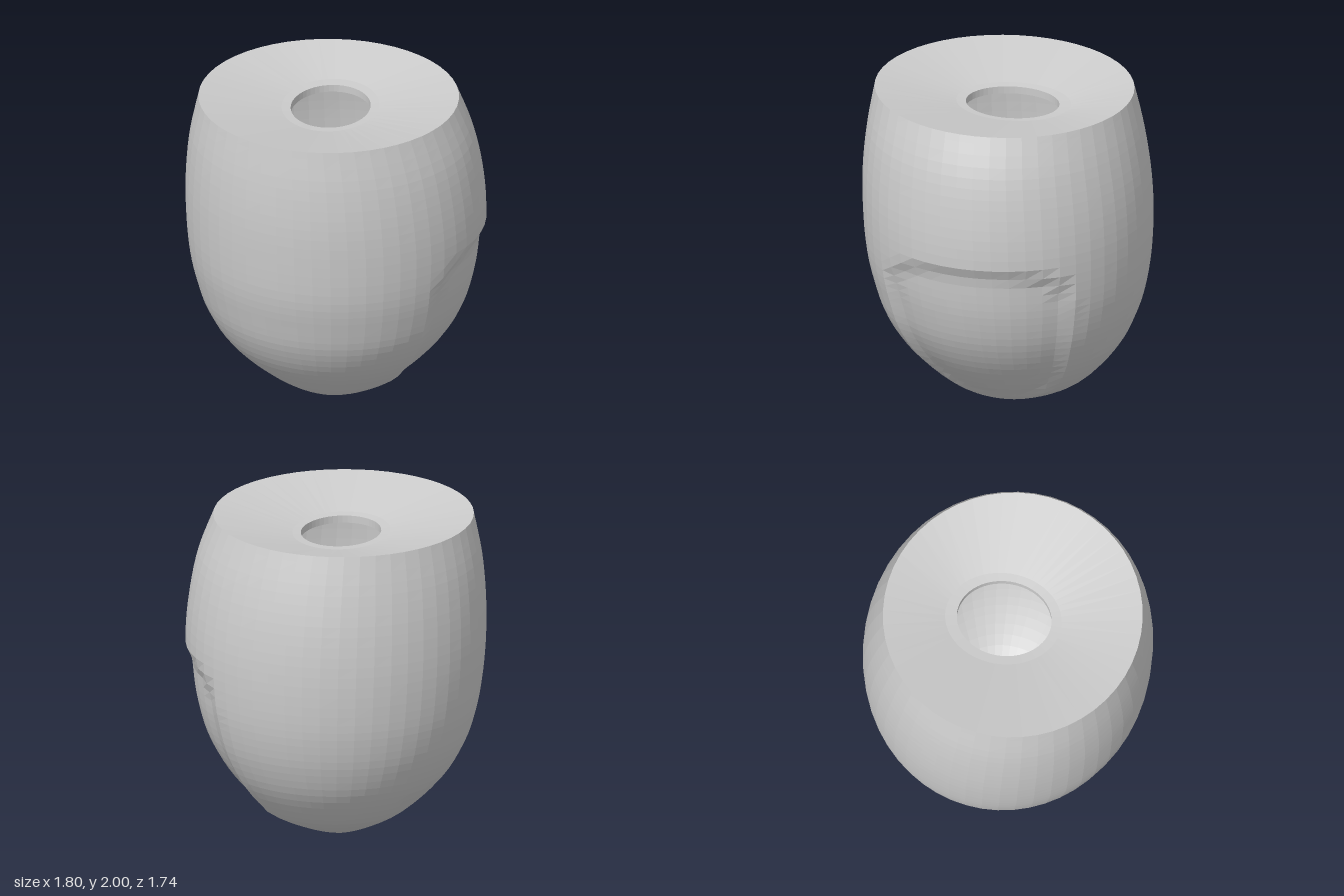
import * as THREE from 'three';

const SEG = 52;

// Lofts stacked elliptical sections { y, cx, cz, rx, rz, tilt } into one faceted skin
function loft(sections, dent) {
  const pos = [], idx = [];
  sections.forEach((s) => {
    for (let j = 0; j < SEG; j++) {
      const t = (j / SEG) * Math.PI * 2;
      const k = dent ? dent(s.y, t) : 0;
      pos.push(
        s.cx + (s.rx - k) * Math.cos(t),
        s.y + (s.tilt || 0) * Math.sin(t),
        s.cz + (s.rz - k) * Math.sin(t)
      );
    }
  });
  for (let i = 0; i < sections.length - 1; i++) {
    for (let j = 0; j < SEG; j++) {
      const a = i * SEG + j, b = i * SEG + ((j + 1) % SEG);
      idx.push(a, a + SEG, b, b, a + SEG, b + SEG);
    }
  }
  const g = new THREE.BufferGeometry();
  g.setAttribute('position', new THREE.Float32BufferAttribute(pos, 3));
  g.setIndex(idx);
  g.computeVertexNormals();
  return g;
}

// Outer extents by height: y, left edge x, right edge x, back z, front z
const PROFILE = [
  [0, -0.06, -0.02, -0.06, -0.02],
  [0.02, -0.11, 0.04, -0.12, 0.05],
  [0.08, -0.26, 0.23, -0.28, 0.22],
  [0.2, -0.46, 0.45, -0.5, 0.4],
  [0.4, -0.665, 0.65, -0.68, 0.61],
  [0.6, -0.785, 0.78, -0.78, 0.735],
  [0.8, -0.85, 0.85, -0.835, 0.8],
  [1.0, -0.885, 0.885, -0.86, 0.845],
  [1.25, -0.903, 0.9, -0.865, 0.865],
  [1.5, -0.898, 0.88, -0.845, 0.87],
  [1.75, -0.872, 0.83, -0.8, 0.852],
  [1.99, -0.82, 0.74, -0.74, 0.815]
];

const curveOf = (col) => new THREE.SplineCurve(PROFILE.map((p) => new THREE.Vector2(p[col], p[0])));
const edges = [1, 2, 3, 4].map(curveOf);

function outerSection(u) {
  const [l, r, b, f] = edges.map((c) => c.getPoint(u));
  return {
    y: l.y, cx: (l.x + r.x) / 2, cz: (b.x + f.x) / 2,
    rx: (r.x - l.x) / 2, rz: (f.x - b.x) / 2,
    tilt: 0.01 * Math.max(0, (l.y - 1.6) / 0.39)
  };
}

// Shallow worn patch low on the +x side
function dent(y, t) {
  const a = Math.atan2(Math.sin(t), Math.cos(t));
  const v = (y - 0.65) / 0.52, w = (a + 0.08) / 0.78;
  const d = v * v * v * v + w * w * w * w;
  return d < 1 ? 0.035 * Math.min(1, (1 - d) * 2.5) : 0;
}

export function createModel() {
  const group = new THREE.Group();
  const material = new THREE.MeshStandardMaterial({ color: 0xcccccc, flatShading: true });
  const add = (name, geometry) => {
    const mesh = new THREE.Mesh(geometry, material);
    mesh.name = name;
    group.add(mesh);
  };

  // Outer shell with its pointed base
  const RINGS = 44;
  const shell = Array.from({ length: RINGS + 1 }, (_, i) => outerSection(i / RINGS));
  const tip = { y: 0, cx: -0.04, cz: -0.04, rx: 0, rz: 0 };
  add('shell', loft([tip, ...shell], dent));

  // Dished top sloping from the rim to a flat collar and the oval opening
  const rim = shell[RINGS];
  const collar = { y: 1.9, cx: -0.04, cz: -0.02, rx: 0.29, rz: 0.35 };
  const mouth = { y: 1.895, cx: -0.037, cz: -0.015, rx: 0.238, rz: 0.285 };
  add('dishedTop', loft([rim, collar, mouth]));
  add('openingLip', loft([mouth, { ...mouth, y: 1.85 }]));

  // Hollow interior: ceiling, walls, then a rounded floor with concentric steps
  const inner = [{ ...mouth, y: 1.85 }];
  for (let i = RINGS - 3; i >= 0; i--) {
    const s = outerSection(i / RINGS);
    if (s.y < 0.2 || s.y > 1.84) continue;
    inner.push({ y: s.y + 0.02, cx: s.cx, cz: s.cz, rx: s.rx - 0.12, rz: s.rz - 0.12 });
  }
  [[0.3, 0.2], [0.19, 0.13], [0.11, 0.1], [0.05, 0.09], [0, 0.085]].forEach(([r, y]) =>
    inner.push({ y, cx: -0.03, cz: 0, rx: r, rz: r }));
  add('cavity', loft(inner));

  return group;
}
